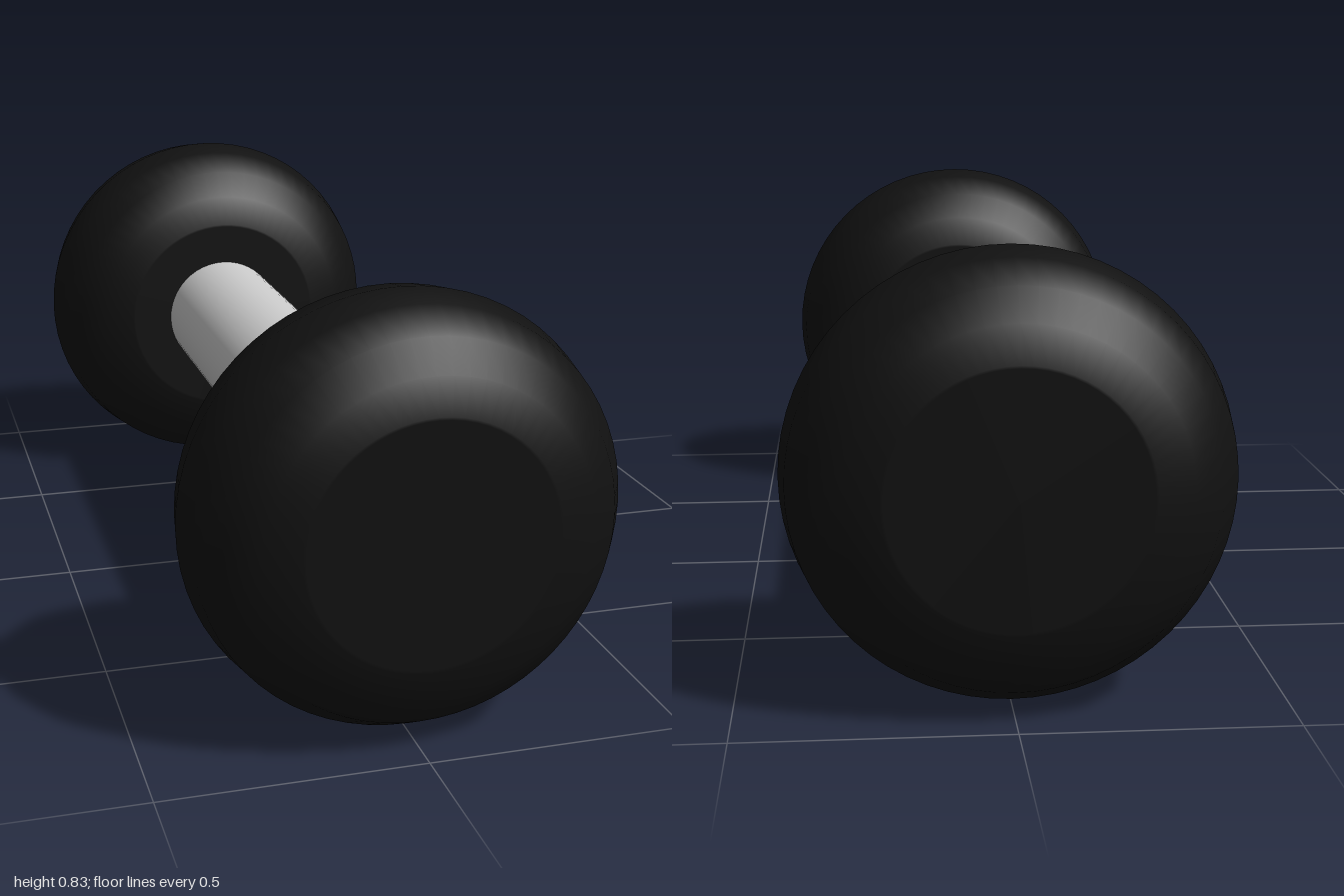
import * as THREE from 'three';

const CENTER_Y = 0.413;
const WEIGHT_Z = 0.798;

// Disc with flat faces and a rounded rim, turned about the z axis
function weightGeometry() {
  const flat = 0.236, bulge = 0.177, halfDepth = 0.202, steps = 8;
  const points = [new THREE.Vector2(0, -halfDepth), new THREE.Vector2(flat - 0.005, -halfDepth)];
  for (let i = 0; i <= steps; i++) {
    const a = -Math.PI / 2 + (Math.PI * i) / steps;
    points.push(new THREE.Vector2(flat + bulge * Math.cos(a), halfDepth * Math.sin(a)));
  }
  points.push(new THREE.Vector2(flat - 0.005, halfDepth), new THREE.Vector2(0, halfDepth));
  return new THREE.LatheGeometry(points, 64).rotateX(Math.PI / 2);
}

export function createModel() {
  const rubber = new THREE.MeshStandardMaterial({ color: 0x111111 });
  rubber.name = 'black rubber';
  const steel = new THREE.MeshStandardMaterial({ color: 0xcccccc });
  steel.name = 'grey steel';

  const group = new THREE.Group();
  group.name = 'dumbbell';

  // Handle, ending just inside each weight
  const handle = new THREE.Mesh(
    new THREE.CylinderGeometry(0.139, 0.139, 1.24, 48).rotateX(Math.PI / 2), steel);
  handle.name = 'handle';
  handle.position.y = CENTER_Y;
  group.add(handle);

  // Matching weights at both ends
  const geometry = weightGeometry();
  for (const [name, side] of [['frontWeight', 1], ['backWeight', -1]]) {
    const weight = new THREE.Mesh(geometry, rubber);
    weight.name = name;
    weight.position.set(0, CENTER_Y, side * WEIGHT_Z);
    group.add(weight);
  }
  return group;
}
